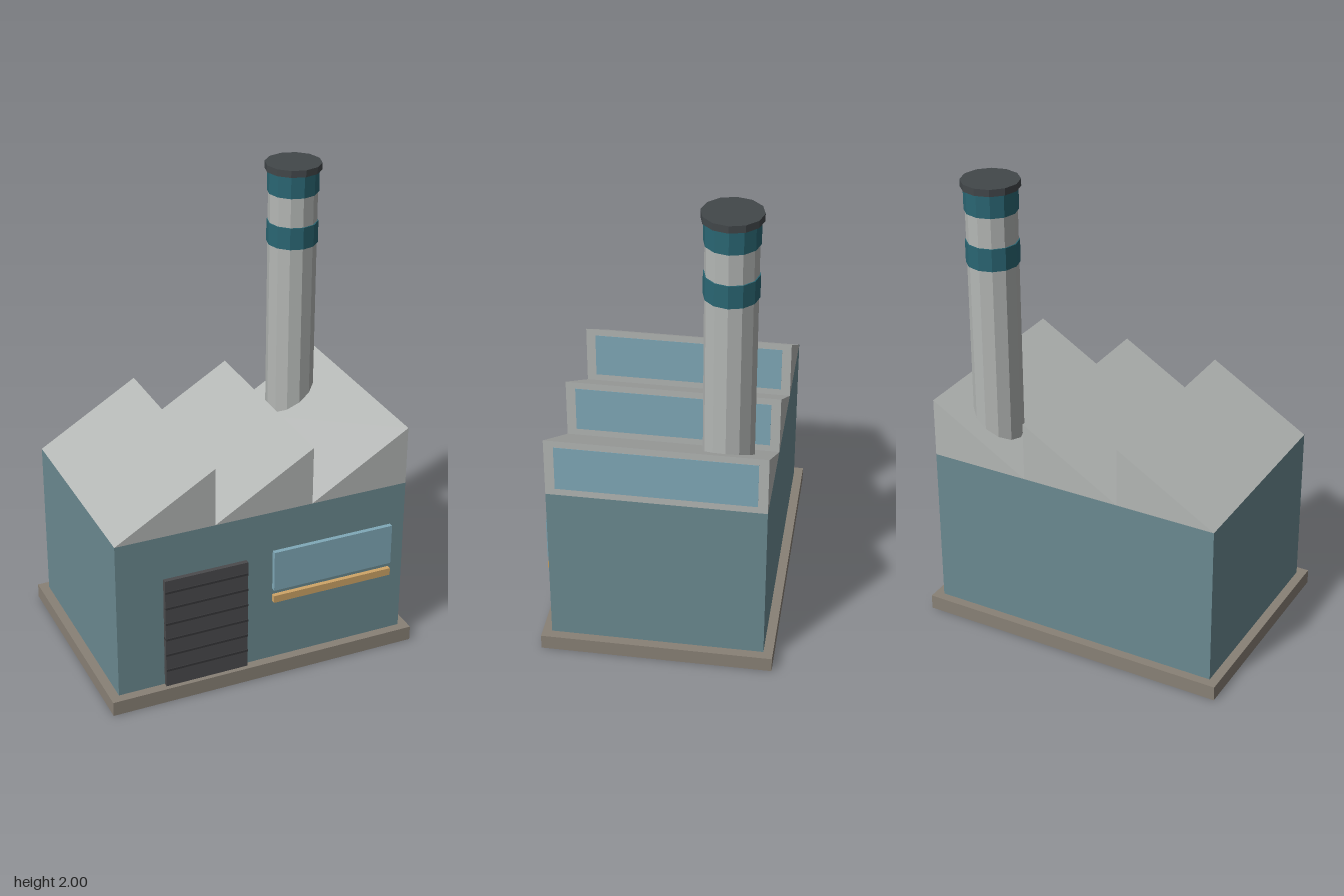
import * as THREE from 'three';

const paint = (color) => new THREE.MeshStandardMaterial({ color, flatShading: true });

export function createModel() {
  const model = new THREE.Group();
  const mat = {
    wall: paint(0x6b8a91), roof: paint(0xb4b7b5), base: paint(0x898176),
    door: paint(0x4b4b4d), rib: paint(0x38383a), glass: paint(0x80a9b8),
    ledge: paint(0xcfa567), band: paint(0x2a6673), cap: paint(0x42474a),
  };

  const add = (name, geometry, material, x = 0, y = 0, z = 0) => {
    const mesh = new THREE.Mesh(geometry, material);
    mesh.name = name;
    mesh.position.set(x, y, z);
    model.add(mesh);
    return mesh;
  };
  // Box given by its lower and upper limits on each axis
  const box = (name, material, [x0, x1], [y0, y1], [z0, z1]) =>
    add(name, new THREE.BoxGeometry(x1 - x0, y1 - y0, z1 - z0), material,
      (x0 + x1) / 2, (y0 + y1) / 2, (z0 + z1) / 2);

  // Slab and main hall
  box('foundation', mat.base, [-0.695, 0.695], [0, 0.065], [-0.49, 0.49]);
  box('hall', mat.wall, [-0.655, 0.655], [0.065, 0.78], [-0.45, 0.45]);

  // Sawtooth roof with a skylight on each upright face
  const pitch = 1.31 / 3;
  const tooth = new THREE.Shape([
    new THREE.Vector2(0, 0), new THREE.Vector2(pitch, 0), new THREE.Vector2(pitch, 0.26),
  ]);
  const toothGeometry = new THREE.ExtrudeGeometry(tooth, { depth: 0.9, bevelEnabled: false });
  for (let i = 0; i < 3; i++) {
    const x = -0.655 + i * pitch;
    add('roofTooth', toothGeometry, mat.roof, x, 0.78, -0.45);
    box('skylight', mat.glass, [x + pitch - 0.01, x + pitch + 0.001], [0.81, 1.01], [-0.41, 0.41]);
  }

  // Roller door with horizontal ribs
  box('door', mat.door, [-0.45, -0.08], [0.065, 0.58], [0.44, 0.47]);
  for (let i = 0; i < 6; i++) {
    const y = 0.14 + i * 0.076;
    box('doorRib', mat.rib, [-0.45, -0.08], [y, y + 0.01], [0.44, 0.474]);
  }

  // Front window and the ledge under it
  box('window', mat.glass, [0.04, 0.59], [0.41, 0.595], [0.44, 0.47]);
  box('windowLedge', mat.ledge, [0.04, 0.59], [0.35, 0.383], [0.44, 0.47]);

  // Chimney: shaft, two painted bands and cap
  const ring = (name, material, radius, y0, y1) =>
    add(name, new THREE.CylinderGeometry(radius, radius, y1 - y0, 12), material,
      0.45, (y0 + y1) / 2, -0.265);
  ring('chimneyShaft', mat.roof, 0.106, 0.78, 1.98);
  ring('chimneyBand', mat.band, 0.111, 1.645, 1.742);
  ring('chimneyBand', mat.band, 0.111, 1.873, 1.972);
  ring('chimneyCap', mat.cap, 0.122, 1.97, 2);

  return model;
}
